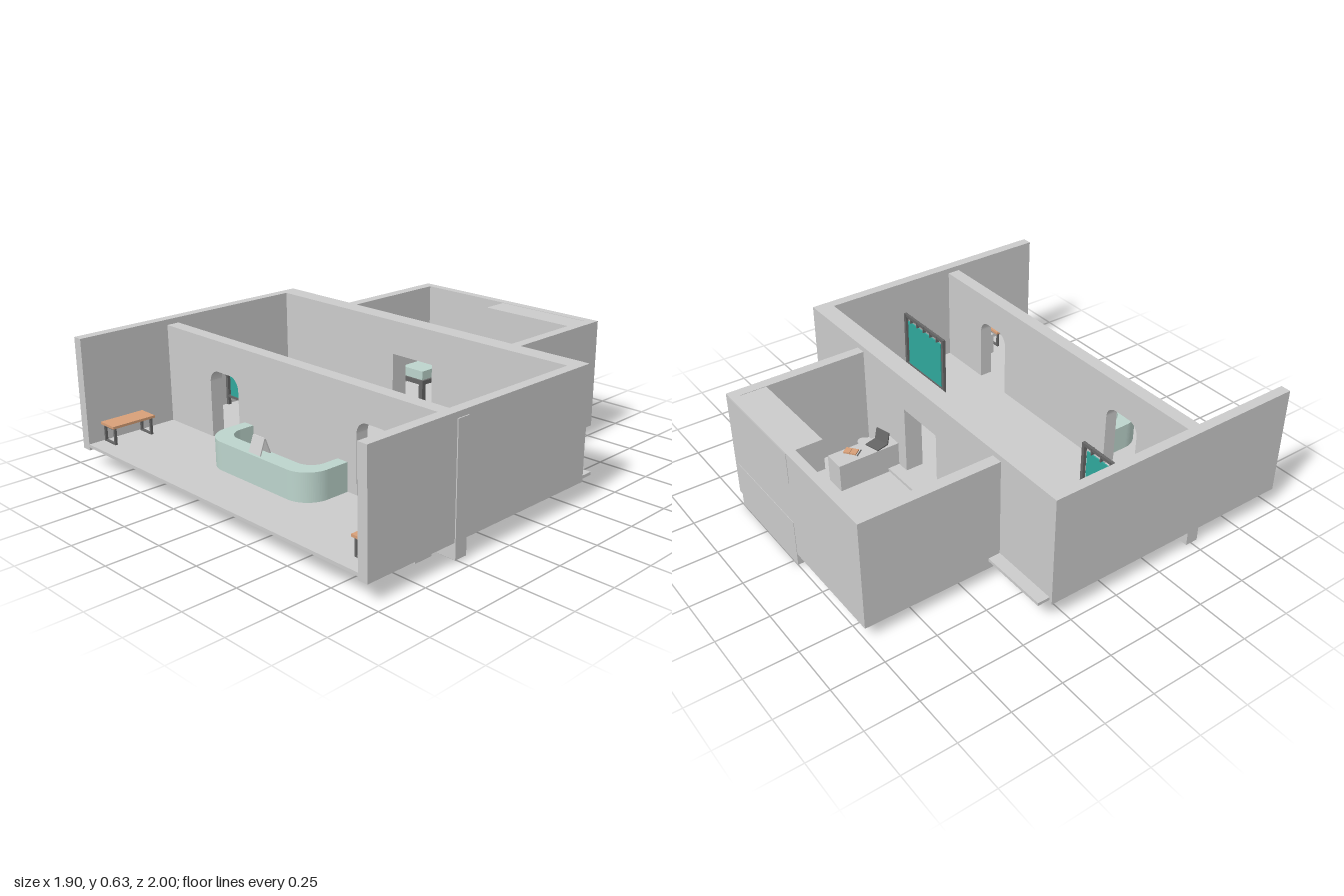
import * as THREE from 'three';

const mat = (color) => new THREE.MeshStandardMaterial({ color, side: THREE.DoubleSide });
const GREY = mat(0xcccccc), DARK = mat(0x666666), SAGE = mat(0xbcd4cc), TEAL = mat(0x2fa89c), WOOD = mat(0xd8a078);

export function createModel() {
  const model = new THREE.Group();

  const add = (parent, name, geometry, material = GREY) => {
    const mesh = new THREE.Mesh(geometry, material);
    mesh.name = name;
    parent.add(mesh);
    return mesh;
  };
  // Box given by its lower and upper limits on each axis
  const box = (parent, name, x0, x1, y0, y1, z0, z1, material) => {
    const geometry = new THREE.BoxGeometry(x1 - x0, y1 - y0, z1 - z0);
    geometry.translate((x0 + x1) / 2, (y0 + y1) / 2, (z0 + z1) / 2);
    return add(parent, name, geometry, material);
  };
  const group = (name) => {
    const g = new THREE.Group();
    g.name = name;
    model.add(g);
    return g;
  };
  const rectangle = (Type, x0, x1, y0, y1) => {
    const s = new Type();
    s.moveTo(x0, y0).lineTo(x1, y0).lineTo(x1, y1).lineTo(x0, y1).closePath();
    return s;
  };
  // Upright wall with door holes cut through it
  const wall = (name, x0, x1, y0, y1, z0, z1, holes) => {
    const shape = rectangle(THREE.Shape, x0, x1, y0, y1);
    shape.holes.push(...holes);
    const geometry = new THREE.ExtrudeGeometry(shape, { depth: z1 - z0, bevelEnabled: false, curveSegments: 10 });
    geometry.translate(0, 0, z0);
    add(model, name, geometry);
  };
  const archDoor = (x0, x1, y0, y1, r) => {
    const p = new THREE.Path();
    p.moveTo(x0, y0).lineTo(x1, y0).lineTo(x1, y1 - r);
    p.absarc(x1 - r, y1 - r, r, 0, Math.PI / 2, false);
    p.absarc(x0 + r, y1 - r, r, Math.PI / 2, Math.PI, false);
    p.closePath();
    return p;
  };

  // Main room
  box(model, 'mainFloor', -0.94, 0.945, 0.105, 0.12, -0.38, 1);
  box(model, 'rightOuterWall', -0.955, -0.905, 0.09, 0.632, -0.32, 1);
  box(model, 'leftOuterWall', 0.895, 0.945, 0.09, 0.632, -0.32, 1);
  wall('mainBackWall', -0.905, 0.895, 0.09, 0.632, -0.32, -0.23,
    [rectangle(THREE.Path, -0.125, 0.13, 0.105, 0.465)]);
  wall('archedPartition', -0.95, 0.95, 0.015, 0.605, 0.46, 0.525,
    [archDoor(-0.58, -0.375, 0.075, 0.455, 0.06), archDoor(0.4, 0.605, 0.075, 0.455, 0.06)]);

  // Back room
  box(model, 'backRoomFloor', -0.595, 0.52, 0.068, 0.1, -0.99, -0.305);
  box(model, 'backRoomRightWall', -0.6, -0.545, 0.063, 0.605, -0.998, -0.32);
  box(model, 'backRoomLeftWall', 0.47, 0.52, 0.063, 0.605, -0.998, -0.32);
  box(model, 'backRoomRearWall', -0.545, 0.47, 0.063, 0.605, -0.998, -0.955);
  box(model, 'baseCabinet', -0.035, 0.49, 0.002, 0.24, -1, -0.825);
  box(model, 'wallCabinet', -0.035, 0.49, 0.45, 0.603, -1, -0.825);

  // Curved reception counter
  const counter = new THREE.Shape();
  const outer = 0.12, inner = 0.08, xl = -0.335, xr = 0.345, t = 0.06, back = -0.525, front = -0.757;
  counter.moveTo(xl, back).lineTo(xl, front + outer);
  counter.absarc(xl + outer, front + outer, outer, Math.PI, Math.PI * 1.5, false);
  counter.absarc(xr - outer, front + outer, outer, Math.PI * 1.5, Math.PI * 2, false);
  counter.lineTo(xr, back).lineTo(xr - t, back);
  const innerFront = front + 0.08;
  counter.absarc(xr - t - inner, innerFront + inner, inner, 0, -Math.PI / 2, true);
  counter.absarc(xl + t + inner, innerFront + inner, inner, -Math.PI / 2, -Math.PI, true);
  counter.lineTo(xl + t, back);
  const counterGeometry = new THREE.ExtrudeGeometry(counter, { depth: 0.155, bevelEnabled: false, curveSegments: 12 });
  counterGeometry.rotateX(-Math.PI / 2).translate(0, 0.1, 0);
  add(model, 'receptionCounter', counterGeometry, SAGE);

  // Folded screen standing on the counter
  const screen = group('counterScreen');
  screen.position.set(0.002, 0.292, 0.715);
  for (const side of [-1, 1]) {
    const panel = box(screen, 'screenPanel', -0.038, 0.038, -0.039, 0.039, -0.003, 0.003);
    panel.position.z = side * 0.014;
    panel.rotation.x = -side * 0.36;
  }

  // Beds: frame, legs and mattress
  const bed = (name, x0, x1, z0, z1) => {
    const g = group(name);
    box(g, 'bedFrame', x0, x1, 0.19, 0.213, z0, z1, DARK);
    box(g, 'mattress', x0 + 0.012, x1 - 0.012, 0.213, 0.26, z0 + 0.012, z1 - 0.012, SAGE);
    for (const x of [x0, x1 - 0.025])
      for (const z of [z0, z1 - 0.025]) box(g, 'bedLeg', x, x + 0.025, 0.1, 0.19, z, z + 0.025, DARK);
  };
  bed('rightBed', -0.905, -0.51, -0.13, 0.05);
  bed('leftBed', 0.487, 0.892, -0.118, 0.06);
  bed('backRoomBed', -0.42, -0.252, -0.955, -0.582);

  // Framed privacy screens
  const privacyScreen = (name, x0, x1) => {
    const g = group(name);
    for (const x of [x0, x1 - 0.016]) box(g, 'screenPost', x, x + 0.016, 0.12, 0.46, 0.174, 0.19, DARK);
    box(g, 'topRail', x0, x1, 0.445, 0.46, 0.175, 0.189, DARK);
    box(g, 'lowerRail', x0, x1, 0.16, 0.172, 0.175, 0.189, DARK);
    box(g, 'screenCloth', x0 + 0.03, x1 - 0.03, 0.172, 0.425, 0.179, 0.185, TEAL);
    for (let i = 1; i < 6; i++) {
      const x = x0 + (x1 - x0) * i / 6;
      box(g, 'hanger', x - 0.003, x + 0.003, 0.425, 0.46, 0.173, 0.191, DARK);
    }
  };
  privacyScreen('rightPrivacyScreen', -0.905, -0.535);
  privacyScreen('leftPrivacyScreen', 0.54, 0.895);

  // Waiting benches with looped legs
  const bench = (name, x0, x1) => {
    const g = group(name);
    box(g, 'benchTop', x0, x1, 0.203, 0.215, 0.7, 0.93, WOOD);
    for (const z of [0.71, 0.908]) {
      box(g, 'benchLeg', x0 + 0.008, x0 + 0.018, 0.12, 0.203, z, z + 0.012, DARK);
      box(g, 'benchLeg', x1 - 0.018, x1 - 0.008, 0.12, 0.203, z, z + 0.012, DARK);
      box(g, 'benchCrossbar', x0 + 0.018, x1 - 0.018, 0.193, 0.203, z, z + 0.012, DARK);
      box(g, 'benchFoot', x0 + 0.018, x1 - 0.018, 0.12, 0.128, z, z + 0.012, DARK);
    }
  };
  bench('rightBench', -0.905, -0.8);
  bench('leftBench', 0.788, 0.893);

  // Square bin with a recessed top
  const bin = rectangle(THREE.Shape, 0.76, 0.858, -0.657, -0.56);
  bin.holes.push(rectangle(THREE.Path, 0.77, 0.848, -0.647, -0.57));
  const binGeometry = new THREE.ExtrudeGeometry(bin, { depth: 0.22, bevelEnabled: false });
  binGeometry.rotateX(-Math.PI / 2).translate(0, 0.015, 0);
  add(model, 'binSides', binGeometry);
  box(model, 'binFill', 0.77, 0.848, 0.015, 0.22, 0.57, 0.647);

  // Back room desk with laptop, notebook and stool
  box(model, 'desk', 0.195, 0.302, 0.002, 0.24, -0.638, -0.32);
  const laptop = group('laptop');
  laptop.position.set(0.243, 0.24, -0.408);
  laptop.rotation.y = 0.25;
  box(laptop, 'laptopBase', -0.04, 0.04, 0, 0.006, -0.035, 0.03, DARK);
  const lid = box(laptop, 'laptopLid', -0.04, 0.04, 0, 0.06, -0.003, 0.003, DARK);
  lid.position.z = 0.03;
  lid.rotation.x = 0.25;
  const notebook = group('notebook');
  notebook.position.set(0.265, 0.24, -0.535);
  notebook.rotation.y = 0.65;
  for (const s of [-1, 1]) box(notebook, 'page', s * 0.016 - 0.015, s * 0.016 + 0.015, 0, 0.008, -0.02, 0.02, WOOD);
  const pen = box(notebook, 'pen', -0.002, 0.002, 0, 0.005, -0.025, 0.025, DARK);
  pen.position.x = -0.04;
  const stool = group('stool');
  stool.position.set(0.361, 0, -0.413);
  add(stool, 'stoolSeat', new THREE.CylinderGeometry(0.028, 0.028, 0.015, 20).translate(0, 0.19, 0));
  for (let i = 0; i < 4; i++) {
    const a = Math.PI * (i / 2 + 0.25);
    const leg = box(stool, 'stoolLeg', -0.003, 0.003, 0.1, 0.185, -0.003, 0.003, DARK);
    leg.position.set(Math.cos(a) * 0.024, 0, Math.sin(a) * 0.024);
  }

  return model;
}
